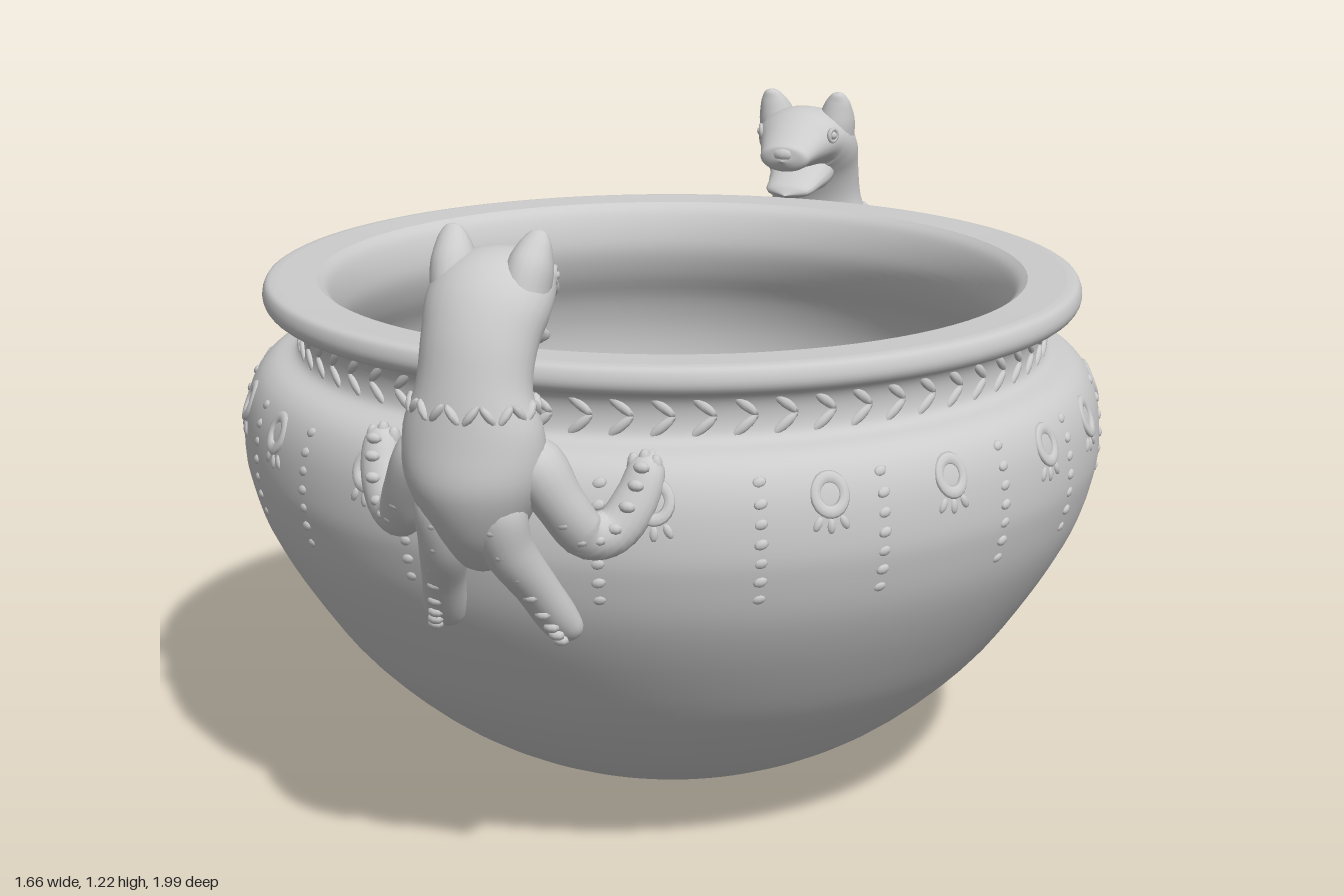
import * as THREE from 'three';
import { mergeGeometries } from 'three/addons/utils/BufferGeometryUtils.js';

const material = new THREE.MeshStandardMaterial({ color: 0xcccccc });
const v2 = (p) => new THREE.Vector2(p[0], p[1]);

// Outer wall from base to rim, then the inner wall back down (radius, height)
const OUTER = [[0, 0], [0.13, 0.008], [0.3, 0.048], [0.47, 0.137], [0.62, 0.268], [0.72, 0.402], [0.79, 0.525],
  [0.82, 0.62], [0.827, 0.68], [0.82, 0.75], [0.8, 0.8], [0.77, 0.828], [0.728, 0.842], [0.715, 0.865],
  [0.716, 0.9], [0.732, 0.925], [0.77, 0.935], [0.783, 0.955], [0.776, 0.98], [0.755, 0.985]];
const INNER = [[0.68, 0.983], [0.66, 0.965], [0.645, 0.925], [0.642, 0.88], [0.66, 0.825], [0.695, 0.76],
  [0.715, 0.68], [0.71, 0.59], [0.675, 0.48], [0.6, 0.34], [0.49, 0.215], [0.36, 0.125], [0.19, 0.072], [0, 0.06]];
// Angles from the front, mirrored to both sides, of the shoulder ornaments
const MEDALLIONS = [19, 40, 57, 76, 91, 111, 127, 142, 160];
const BEAD_ROWS = [12.5, 31.5, 47, 66, 82, 103, 120, 134, 151, 168];

function add(parent, name, geometry) {
  const mesh = new THREE.Mesh(geometry, material);
  mesh.name = name;
  parent.add(mesh);
  return mesh;
}

function lathe(points, samples) {
  return new THREE.LatheGeometry(new THREE.SplineCurve(points.map(v2)).getPoints(samples).map((p) => {
    p.x = Math.max(p.x, 0);
    return p;
  }), 96);
}

// Matrix of a frame resting on the outer wall: local x sideways, y up the wall, z outward
function onWall(angle, y) {
  let i = 1;
  while (OUTER[i + 1][1] < y) i++;
  const [r0, y0] = OUTER[i], [r1, y1] = OUTER[i + 1];
  const r = r0 + ((r1 - r0) * (y - y0)) / (y1 - y0);
  const tilt = Math.atan2(r1 - r0, y1 - y0);
  return new THREE.Matrix4().makeRotationY(angle)
    .multiply(new THREE.Matrix4().makeTranslation(0, y, r))
    .multiply(new THREE.Matrix4().makeRotationX(tilt));
}

// Small bead: an ellipsoid, turned in its own plane
function bead(w, h, d, x = 0, y = 0, turn = 0) {
  return new THREE.SphereGeometry(1, 8, 6).scale(w, h, d).rotateZ(turn).translate(x, y, 0);
}

// Smooth body through oval sections [x, y, z, halfWidth, halfDepth]; ref gives the width direction
function loft(rows, ref, steps = 32, sides = 18) {
  const path = new THREE.CatmullRomCurve3(rows.map((r) => new THREE.Vector3(r[0], r[1], r[2])));
  const sizes = new THREE.SplineCurve(rows.map((r) => new THREE.Vector2(r[3], r[4])));
  const pos = [], index = [];
  for (let i = 0; i <= steps; i++) {
    const t = i / steps, c = path.getPoint(t), dir = path.getTangent(t), s = sizes.getPoint(t);
    const side = ref.clone().addScaledVector(dir, -ref.dot(dir)).normalize();
    const up = dir.clone().cross(side);
    for (let j = 0; j < sides; j++) {
      const a = (j / sides) * Math.PI * 2;
      const p = c.clone().addScaledVector(side, Math.cos(a) * s.x).addScaledVector(up, Math.sin(a) * s.y);
      pos.push(p.x, p.y, p.z);
      if (i < steps) {
        const k = (j + 1) % sides, b = i * sides;
        index.push(b + j, b + k, b + sides + j, b + k, b + sides + k, b + sides + j);
      }
    }
  }
  const g = new THREE.BufferGeometry();
  g.setAttribute('position', new THREE.Float32BufferAttribute(pos, 3));
  g.setIndex(index);
  g.computeVertexNormals();
  return g;
}

// Row of beads along the outer face of a limb
function limbBeads(points, count, lift) {
  const path = new THREE.CatmullRomCurve3(points.map((r) => new THREE.Vector3(r[0], r[1], r[2])));
  return mergeGeometries(Array.from({ length: count }, (_, i) => {
    const p = path.getPoint(0.25 + (0.63 * i) / (count - 1));
    return bead(0.015, 0.01, 0.01).translate(p.x, p.y, p.z + lift);
  }));
}

function createAnimal() {
  const animal = new THREE.Group();
  const X = new THREE.Vector3(1, 0, 0), Z = new THREE.Vector3(0, 0, 1);

  // Body, neck, head and upper muzzle in one curved form
  add(animal, 'bodyAndHead', loft([
    [0, 0.64, 0.85, 0, 0], [0, 0.67, 0.865, 0.045, 0.04], [0, 0.74, 0.885, 0.085, 0.08],
    [0, 0.82, 0.895, 0.12, 0.102], [0, 0.9, 0.9, 0.122, 0.085], [0, 0.97, 0.893, 0.1, 0.076],
    [0, 1.04, 0.87, 0.1, 0.078], [0, 1.092, 0.835, 0.108, 0.078], [0, 1.115, 0.785, 0.1, 0.068],
    [0, 1.106, 0.73, 0.076, 0.05], [0, 1.094, 0.685, 0.06, 0.034], [0, 1.086, 0.66, 0.048, 0.027],
    [0, 1.084, 0.648, 0, 0]], X, 60, 28));
  add(animal, 'lowerJaw', loft([
    [0, 1.07, 0.85, 0.06, 0.05], [0, 1.04, 0.79, 0.07, 0.043], [0, 1.024, 0.74, 0.06, 0.027],
    [0, 1.012, 0.69, 0.046, 0.015], [0, 1.006, 0.668, 0, 0]], X));
  add(animal, 'nose', bead(0.026, 0.015, 0.014).translate(0, 1.098, 0.66));

  // Zigzag collar around the neck
  add(animal, 'collar', mergeGeometries(Array.from({ length: 22 }, (_, i) => {
    const a = (i / 22) * Math.PI * 2;
    return bead(0.022, 0.008, 0.01, 0, 0, i % 2 ? 0.9 : -0.9).rotateY(a)
      .translate(Math.sin(a) * 0.106, 0.94, 0.897 + Math.cos(a) * 0.079);
  })));

  for (const s of [1, -1]) {
    const side = s > 0 ? 'left' : 'right';
    add(animal, side + 'Ear', loft([
      [s * 0.064, 1.12, 0.825, 0.04, 0.05], [s * 0.069, 1.16, 0.815, 0.038, 0.042],
      [s * 0.075, 1.195, 0.804, 0.026, 0.022], [s * 0.077, 1.212, 0.798, 0.013, 0.01],
      [s * 0.077, 1.216, 0.797, 0, 0]], X, 16));
    add(animal, side + 'Eye', new THREE.TorusGeometry(0.013, 0.005, 6, 14).rotateY(Math.PI / 2 + s * 0.35))
      .position.set(s * 0.082, 1.13, 0.748);
    add(animal, side + 'Pupil', bead(0.009, 0.009, 0.009)).position.set(s * 0.082, 1.13, 0.748);

    // Bent arm hugging the bowl with its paw raised on the shoulder
    const arm = [[0.06, 0.88, 0.88, 0, 0], [0.095, 0.85, 0.88, 0.05, 0.045], [0.138, 0.775, 0.865, 0.042, 0.043],
      [0.172, 0.715, 0.832, 0.036, 0.042], [0.208, 0.72, 0.803, 0.033, 0.04], [0.236, 0.77, 0.775, 0.03, 0.038],
      [0.246, 0.82, 0.748, 0.026, 0.03], [0.248, 0.845, 0.728, 0, 0]].map((r) => [r[0] * s, ...r.slice(1)]);
    add(animal, side + 'Arm', loft(arm, Z));
    add(animal, side + 'ArmBeads', limbBeads(arm, 8, 0.034));
    add(animal, side + 'Paw', mergeGeometries([-1, 0, 1].map((k) =>
      bead(0.012, 0.022, 0.014).translate(s * (0.242 + k * 0.02), 0.828 - Math.abs(k) * 0.008, 0.752))));

    // Leg hanging down the wall
    const leg = [[0.045, 0.81, 0.92, 0, 0], [0.05, 0.78, 0.922, 0.044, 0.04], [0.058, 0.7, 0.9, 0.044, 0.042],
      [0.085, 0.62, 0.85, 0.038, 0.036], [0.105, 0.555, 0.808, 0.038, 0.032], [0.115, 0.525, 0.79, 0.032, 0.022],
      [0.12, 0.508, 0.776, 0, 0]].map((r) => [r[0] * s, ...r.slice(1)]);
    add(animal, side + 'Leg', loft(leg, X));
    add(animal, side + 'LegBeads', limbBeads(leg, 8, 0.036));
  }
  return animal;
}

export function createModel() {
  const model = new THREE.Group();
  model.name = 'bowl';
  add(model, 'outerWall', lathe(OUTER, 76));
  add(model, 'rimTop', new THREE.LatheGeometry([OUTER[OUTER.length - 1], INNER[0]].map(v2), 96));
  add(model, 'innerWall', lathe(INNER, 52));

  // Band of chevrons around the neck
  const chevrons = [];
  for (let i = 0; i < 64; i++) {
    const a = ((i + 0.5) / 64) * Math.PI * 2, dir = Math.sin(a) > 0 ? 1 : -1;
    for (const k of [1, -1]) {
      chevrons.push(bead(0.031, 0.009, 0.007, 0, k * 0.019, -dir * k * 0.7).applyMatrix4(onWall(a, 0.884)));
    }
  }
  add(model, 'neckChevrons', mergeGeometries(chevrons));

  // Medallions alternating with vertical bead rows on the shoulder
  const medallions = [], beadRows = [];
  for (const s of [1, -1]) {
    for (const degrees of MEDALLIONS) {
      const a = s * THREE.MathUtils.degToRad(degrees), frame = onWall(a, 0.765);
      medallions.push(new THREE.TorusGeometry(0.026, 0.01, 8, 20).scale(1, 1.15, 0.6).applyMatrix4(frame));
      for (const k of [-1, 0, 1]) {
        medallions.push(bead(0.008, 0.014, 0.006, k * 0.024, 0, k * 0.5)
          .applyMatrix4(onWall(a, 0.712 + Math.abs(k) * 0.005)));
      }
    }
    for (const degrees of BEAD_ROWS) {
      for (let j = 0; j < 7; j++) {
        beadRows.push(bead(0.013, 0.009, 0.006, 0, 0, 0.3)
          .applyMatrix4(onWall(s * THREE.MathUtils.degToRad(degrees), 0.792 - j * 0.034)));
      }
    }
  }
  add(model, 'medallions', mergeGeometries(medallions));
  add(model, 'beadRows', mergeGeometries(beadRows));

  // Two animal handles looking over the rim
  for (const [name, turn] of [['frontAnimalHandle', 0], ['backAnimalHandle', Math.PI]]) {
    const animal = createAnimal();
    animal.name = name;
    animal.rotation.y = turn;
    model.add(animal);
  }
  return model;
}
